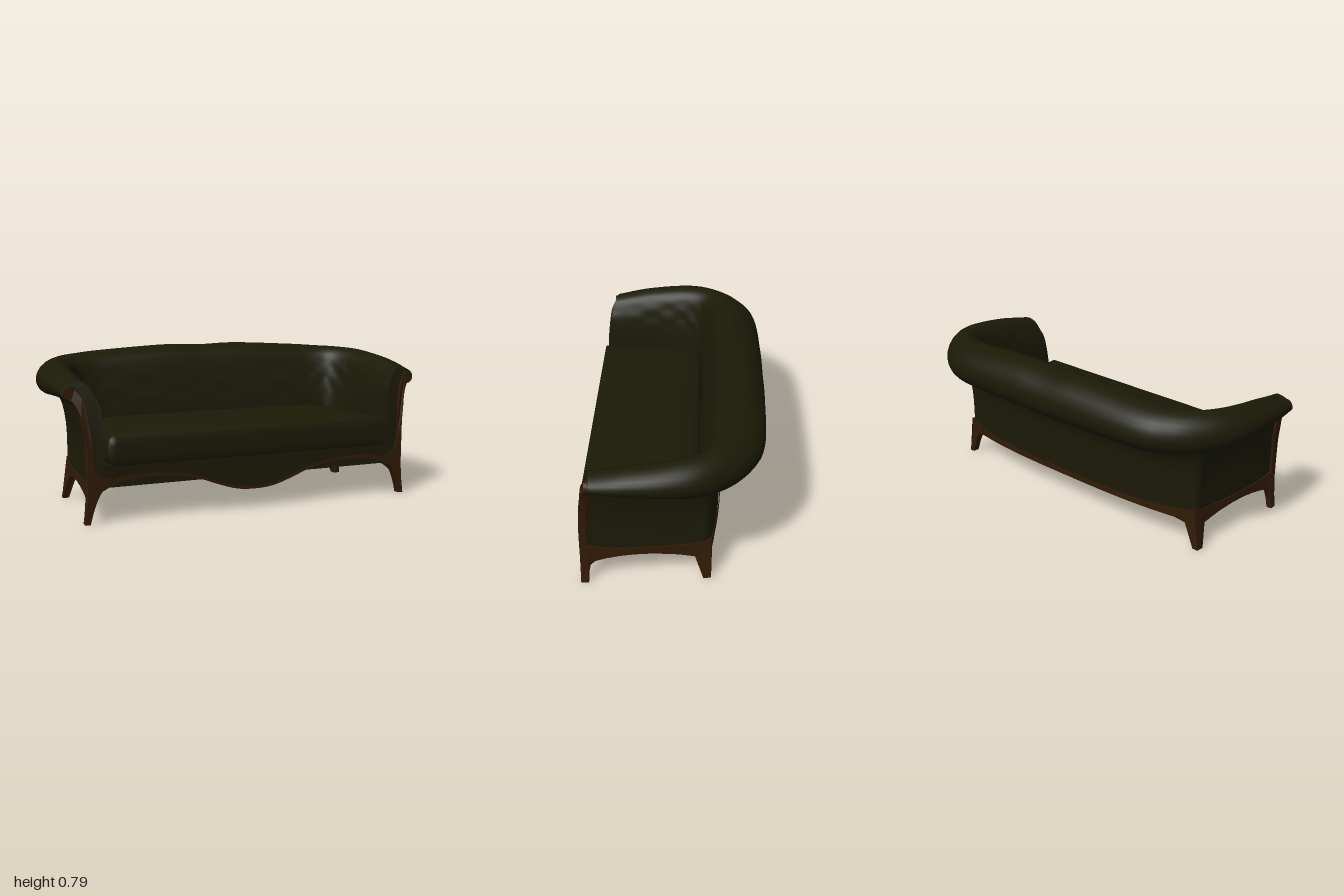
import * as THREE from 'three';
import { toCreasedNormals } from 'three/addons/utils/BufferGeometryUtils.js';

const V2 = (p) => new THREE.Vector2(p[0], p[1]);
const smooth = (pts, n) => new THREE.SplineCurve(pts.map(V2)).getPoints(n);
const lerp = THREE.MathUtils.lerp;

// Backward lean of the arm fronts with height
const lean = (y) => 0.038 * (Math.max(0, y - 0.25) / 0.4) ** 2.2;
// Bowed plan of the back and taper of the sides
const backZ = (x) => -0.237 + 0.06 * Math.min(1, Math.abs(x) / 0.806) ** 3;
const sideX = (z) => 0.862 - 0.058 * (Math.max(0, 0.44 - z) / 0.62) ** 1.5;

// Skin over rows of points, rows stacked upward
function loft(rows) {
  const n = rows[0].length, index = [];
  for (let i = 0; i < rows.length - 1; i++)
    for (let j = 0; j < n - 1; j++) {
      const a = i * n + j, b = a + n;
      index.push(a, b, b + 1, a, b + 1, a + 1);
    }
  const g = new THREE.BufferGeometry().setFromPoints(rows.flat());
  g.setIndex(index);
  g.computeVertexNormals();
  return g;
}

// Flat board from an outline, then bent by a rule
function board(points, depth, rule) {
  const g = new THREE.ExtrudeGeometry(new THREE.Shape(points), { depth, bevelEnabled: false });
  const p = g.attributes.position, v = new THREE.Vector3();
  for (let i = 0; i < p.count; i++) {
    rule(v.fromBufferAttribute(p, i));
    p.setXYZ(i, v.x, v.y, v.z);
  }
  g.computeVertexNormals();
  return g;
}

// Rail of varying height: columns of [along, bottom, top]; place(along, y, inset) gives a point
function rail(columns, thick, place) {
  const row = (k, inset) => columns.map((c) => place(c[0], c[k], inset));
  return toCreasedNormals(loft([row(2, thick), row(1, thick), row(1, 0), row(2, 0), row(2, thick)]), 0.7);
}

export function createModel() {
  const group = new THREE.Group();
  const fabric = new THREE.MeshStandardMaterial({ color: 0x1b1a06, side: THREE.DoubleSide });
  fabric.name = 'olive fabric';
  const wood = new THREE.MeshStandardMaterial({ color: 0x311b06, side: THREE.DoubleSide });
  wood.name = 'brown wood';
  const add = (name, geometry, material) => {
    const m = new THREE.Mesh(geometry, material);
    m.name = name;
    group.add(m);
    return m;
  };

  // Rolled back and arms: guide curves run from the left arm round to the right
  const guide = (half) => new THREE.CatmullRomCurve3(
    [...half, ...half.slice(0, -1).reverse().map(([x, y, z]) => [-x, y, z])]
      .map((p) => new THREE.Vector3(...p)), false, 'catmullrom', 0.5);
  // roll: outermost plan position, with the top height as y
  const roll = guide([[0.975, 0.675, 0.41], [0.995, 0.702, 0.25], [1, 0.728, 0.05], [0.972, 0.745, -0.12],
    [0.89, 0.752, -0.26], [0.77, 0.757, -0.37], [0.6, 0.767, -0.437], [0.22, 0.785, -0.454], [0, 0.78, -0.455]]);
  // wall: outer panel, with the underside of the roll as y
  const wall = guide([[0.857, 0.587, 0.432], [0.852, 0.585, 0.27], [0.834, 0.577, 0.08], [0.814, 0.56, -0.09],
    [0.802, 0.548, -0.173], [0.72, 0.543, backZ(0.72)], [0.58, 0.54, backZ(0.58)], [0.22, 0.537, backZ(0.22)],
    [0, 0.535, -0.237]]);
  const inner = guide([[0.785, 0, 0.44], [0.785, 0, 0.27], [0.78, 0, 0.1], [0.765, 0, -0.02],
    [0.73, 0, -0.1], [0.66, 0, -0.125], [0.54, 0, -0.13], [0.22, 0, -0.137], [0, 0, -0.14]]);

  const section = (t) => {
    const O = roll.getPoint(t), W = wall.getPoint(t), I = inner.getPoint(t);
    const top = O.y, under = W.y, mid = lerp(under, top, 0.45);
    const pts = [];
    const put = (from, u, y) => {
      const p = new THREE.Vector3(lerp(from.x, O.x, u), y, lerp(from.z, O.z, u));
      p.z -= lean(y) * THREE.MathUtils.clamp((p.z - 0.2) / 0.2, 0, 1);
      pts.push(p);
    };
    // inside face with shallow tufting
    const inside = smooth([[0, 0.2], [0, 0.4], [0.06, 0.55], [0.18, top - 0.07], [0.33, top - 0.02], [0.52, top]], 24);
    for (const p of inside) {
      const fade = Math.max(0, 1 - Math.abs(p.y - 0.58) / 0.12) * Math.min(1, t * 8, (1 - t) * 8);
      put(I, p.x + 0.025 * fade * Math.cos(t * 80) * Math.cos(p.y * 60), p.y);
    }
    // outer round of the roll
    for (let k = 1; k <= 7; k++) {
      const a = (k / 7) * Math.PI / 2;
      put(I, 0.52 + 0.48 * Math.sin(a), mid + (top - mid) * Math.cos(a));
    }
    for (let k = 1; k <= 6; k++) {
      const a = (k / 6) * Math.PI / 2;
      put(I, 0.62 + 0.38 * Math.cos(a), mid - (mid - under) * Math.sin(a));
    }
    // flared outer panel
    put(W, 0.25, under - 0.022);
    put(W, 0.17, under - 0.05);
    put(W, 0.09, 0.455);
    put(W, 0.03, 0.4);
    put(W, 0, 0.33);
    put(W, 0, W.z < -0.17 ? 0.146 : 0.16);
    return pts;
  };
  const steps = 112;
  const sections = Array.from({ length: steps + 1 }, (_, i) => section(i / steps));
  add('rolledBackAndArms', loft(sections[0].map((_, r) => sections.map((s) => s[r]))), fabric);

  // Upholstered ends of the arms
  for (const end of [sections[0], sections[steps]]) {
    const g = new THREE.BufferGeometry().setFromPoints(end);
    g.setIndex(THREE.ShapeUtils.triangulateShape(end.map((p) => new THREE.Vector2(p.x, p.y)), []).flat());
    g.computeVertexNormals();
    add('armFront', g, fabric);
  }

  // Domed seat cushion
  const plan = new THREE.Shape();
  plan.moveTo(0.772, 0.453);
  plan.lineTo(-0.772, 0.453);
  plan.lineTo(-0.752, 0.05);
  plan.bezierCurveTo(-0.745, -0.06, -0.73, -0.125, -0.62, -0.13);
  plan.lineTo(0.62, -0.13);
  plan.bezierCurveTo(0.73, -0.125, 0.745, -0.06, 0.752, 0.05);
  plan.lineTo(0.772, 0.453);
  const outline = plan.getSpacedPoints(120);
  const layers = [[0.96, 0.272], [0.99, 0.285], [1, 0.32], [1, 0.37], [0.988, 0.4], [0.96, 0.417],
    [0.85, 0.431], [0.6, 0.443], [0.3, 0.451], [0, 0.454]];
  add('seatCushion', loft(layers.map(([s, y]) =>
    outline.map((p) => new THREE.Vector3(p.x * s, y, 0.16 + (p.y - 0.16) * s)))), fabric);

  // Seat base and the board beneath it
  const base = add('seatBase', new THREE.BoxGeometry(1.57, 0.115, 0.57), fabric);
  base.position.set(0, 0.2205, 0.12);
  const under = [[0.79, 0.36], [0.775, -0.16], [0.6, -0.2], [0.3, -0.222]];
  const underPlan = [...under, ...under.slice().reverse().map(([x, z]) => [-x, z])].map(V2);
  add('bottomBoard', board(underPlan, 0.004, (v) => v.set(v.x, 0.157 + v.z, v.y)), wood);

  // Serpentine front apron with a wooden lower edge
  const wave = [[0, 0.1], [0.1, 0.108], [0.2, 0.138], [0.3, 0.175], [0.4, 0.198], [0.5, 0.208],
    [0.62, 0.208], [0.72, 0.192], [0.8, 0.155]];
  const lower = smooth([...wave.slice(1).reverse().map(([x, y]) => [-x, y]), ...wave], 64);
  add('frontApron', board([...lower, V2([0.8, 0.28]), V2([-0.8, 0.28])], 0.035, (v) => { v.z += 0.405; }), fabric);
  const upper = lower.map((p) => new THREE.Vector2(p.x, p.y + 0.013 + 0.03 * p.x ** 4)).reverse();
  add('apronTrim', board([...lower, ...upper], 0.012, (v) => { v.z += 0.432; }), wood);

  // Back rail, a thin strip bowed with the back panel
  const backColumns = Array.from({ length: 33 }, (_, i) => {
    const x = 0.806 * (i / 16 - 1);
    return [x, 0.145, 0.175 + 0.035 * (x / 0.806) ** 4];
  });
  add('backRail', rail(backColumns, 0.003, (x, y, inset) =>
    new THREE.Vector3(x, y, backZ(x) - 0.004 + inset)), wood);

  // Front post running from foot to scroll
  const post = [
    ...smooth([[0.886, 0], [0.873, 0.1], [0.869, 0.2], [0.872, 0.38], [0.884, 0.47], [0.9, 0.54], [0.93, 0.592]], 20),
    ...smooth([[0.915, 0.643], [0.876, 0.58], [0.852, 0.45], [0.842, 0.3], [0.815, 0.235], [0.75, 0.213]], 18),
    ...smooth([[0.75, 0.183], [0.8, 0.155], [0.83, 0.1], [0.847, 0.05], [0.861, 0]], 12),
  ];
  // Side rail with both feet, in columns along z
  const sideTop = (z) => 0.196 + 0.02 * Math.abs((z - 0.12) / 0.3) ** 4;
  const sideColumns = [[0.442, 0], [0.407, 0], [0.405, 0.05], [0.395, 0.1], [0.37, 0.121], [0.32, 0.136], [0.25, 0.149],
    [0.18, 0.155], [0.1, 0.155], [0, 0.145], [-0.05, 0.135], [-0.11, 0.12], [-0.152, 0], [-0.188, 0]]
    .map(([z, y]) => [z, y, sideTop(z)]);
  // Rear corner leg as seen from behind
  const rear = [[0.808, 0], [0.838, 0], [0.812, 0.14], [0.808, 0.215], [0.75, 0.197], [0.7, 0.188], [0.7, 0.146], [0.757, 0.132]];

  for (const s of [1, -1]) {
    const flip = (pts) => pts.map((p) => new THREE.Vector2(p.x * s, p.y));
    add('frontPost', board(flip(post), 0.037, (v) => {
      v.z += 0.408 - lean(v.y) - (v.y > 0.4 ? 0.5 * Math.max(0, Math.abs(v.x) - 0.88) : 0);
    }), wood);

    const scroll = add('armScroll', new THREE.CylinderGeometry(0.033, 0.033, 0.03, 24), wood);
    scroll.rotation.x = Math.PI / 2;
    scroll.position.set(s * 0.93, 0.622, 0.379);

    add('sideRail', rail(sideColumns, 0.025, (z, y, inset) => {
      const splay = Math.max(0, 1 - y / 0.12) * (z > 0.2 ? 0.018 : 0.03);
      return new THREE.Vector3(s * (sideX(z) + 0.004 + splay - inset), y, z);
    }), wood);

    add('rearLeg', board(flip(rear.map(V2)), 0.036, (v) => {
      v.z += v.y < 0.1 ? -0.19 : backZ(v.x) - 0.006;
    }), wood);
  }
  return group;
}
